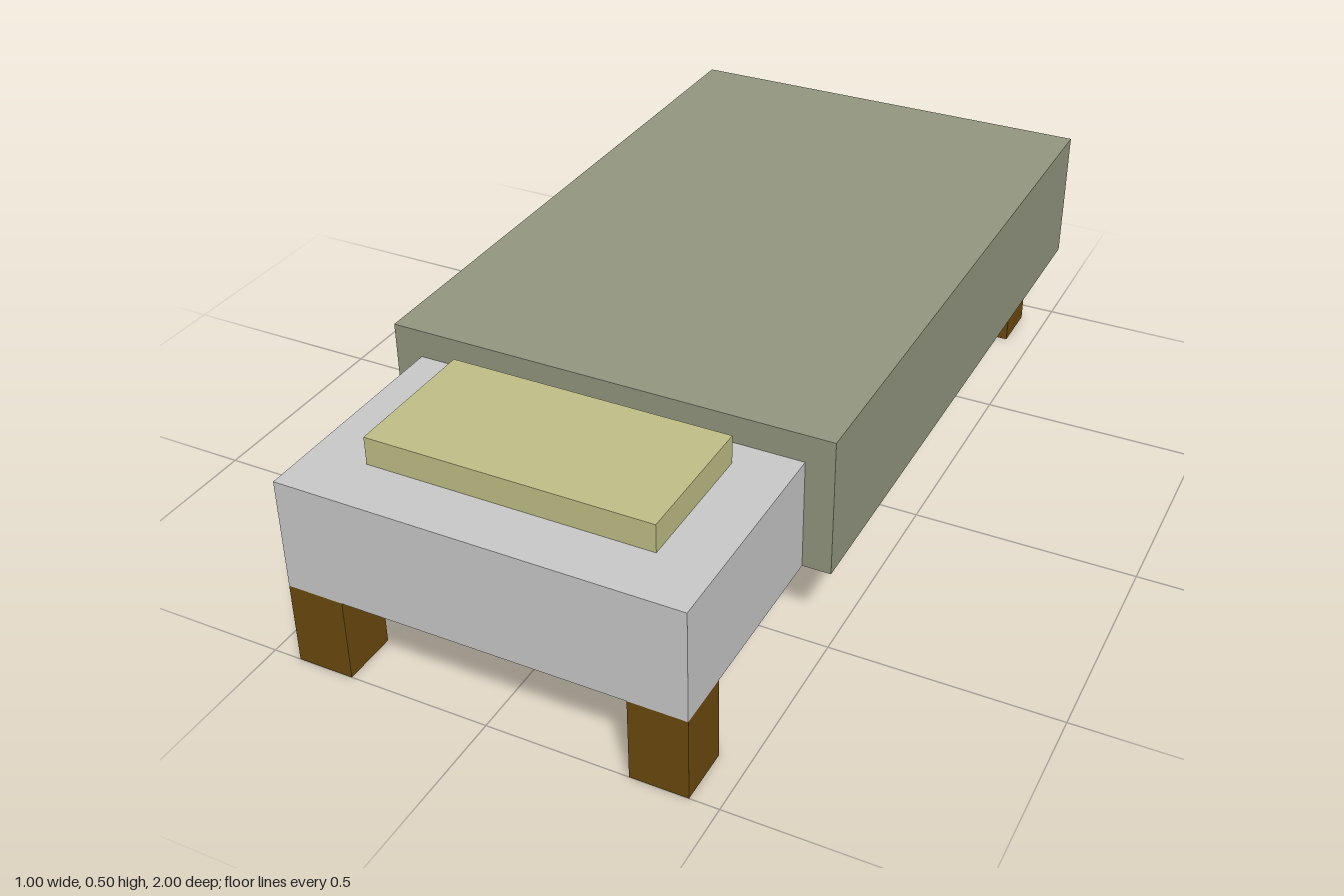
import * as THREE from 'three';

const mat = (name, color) => {
  const m = new THREE.MeshStandardMaterial({ color });
  m.name = name;
  return m;
};

export function createModel() {
  const bed = new THREE.Group();
  bed.name = 'bed';

  const blanket = mat('olive blanket', 0x93967f);
  const sheet = mat('pale grey sheet', 0xc9c9c9);
  const pillow = mat('straw pillow', 0xc1bf87);
  const wood = mat('brown wood', 0x6b4a0e);
  const base = mat('dark underside', 0x4a4a4a);

  // Box given by its lower and upper corners
  const box = (name, material, [x0, y0, z0], [x1, y1, z1]) => {
    const mesh = new THREE.Mesh(new THREE.BoxGeometry(x1 - x0, y1 - y0, z1 - z0), material);
    mesh.position.set((x0 + x1) / 2, (y0 + y1) / 2, (z0 + z1) / 2);
    mesh.name = name;
    bed.add(mesh);
  };

  const low = 0.1875;
  const side = 0.4375;

  // Bedding
  box('mattress', sheet, [-side, low, 0.45], [side, 0.4375, 1]);
  box('blanket', blanket, [-0.5, low, -1], [0.5, 0.5, 0.5]);
  box('pillow', pillow, [-0.3125, 0.4375, 0.5625], [0.3125, 0.5, 0.875]);

  // Underside: sheet hem at the foot, dark base panel
  box('footHem', sheet, [-side, low - 0.001, -0.998], [side, low + 0.001, -0.93]);
  box('basePanel', base, [-0.4, low - 0.002, -0.94], [0.4, low + 0.001, 0.94]);

  // Mattress end showing at the foot, with softened top corners
  const r = 0.03, top = 0.4375;
  const end = new THREE.Shape();
  end.moveTo(-side, low);
  end.lineTo(side, low);
  end.lineTo(side, top - r);
  end.quadraticCurveTo(side, top, side - r, top);
  end.lineTo(-side + r, top);
  end.quadraticCurveTo(-side, top, -side, top - r);
  end.closePath();
  const footEnd = new THREE.Mesh(new THREE.ShapeGeometry(end, 4), sheet);
  footEnd.rotation.y = Math.PI;
  footEnd.position.z = -1.001;
  footEnd.name = 'mattressFootEnd';
  bed.add(footEnd);

  // Four square legs
  for (const [end, z] of [['front', 0.875], ['back', -0.9375]]) {
    box(end + 'LeftLeg', wood, [0.3125, 0, z], [side, low, z + 0.125]);
    box(end + 'RightLeg', wood, [-side, 0, z], [-0.3125, low, z + 0.125]);
  }

  return bed;
}
